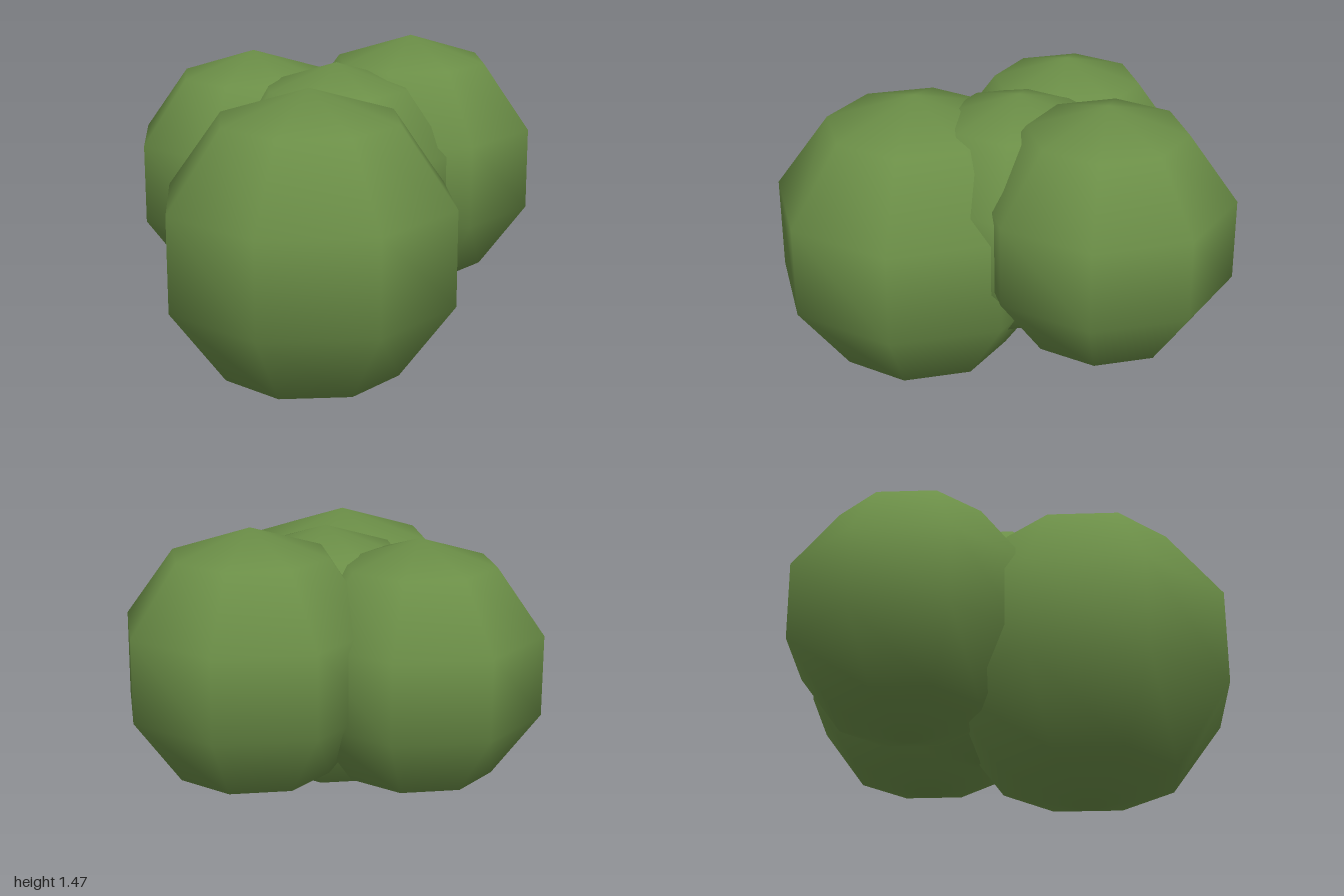
import * as THREE from 'three';

// Shrub made of four overlapping low-segment, smooth-shaded foliage clumps
export function createModel() {
  const group = new THREE.Group();
  group.name = 'bush';
  const leafGreen = new THREE.MeshStandardMaterial({ color: 0x6b8e47 });
  leafGreen.name = 'leaf green';

  // name, radius, centre
  const clumps = [
    ['frontClump', 0.69, -0.34, 0.69, 0.34],
    ['leftClump', 0.598, 0.42, 0.867, -0.15],
    ['backClump', 0.58, -0.25, 0.82, -0.45],
    ['centreClump', 0.5625, -0.035, 0.837, -0.015],
  ];
  for (const [name, radius, x, y, z] of clumps) {
    const clump = new THREE.Mesh(new THREE.SphereGeometry(radius, 8, 5), leafGreen);
    clump.name = name;
    clump.position.set(x, y, z);
    group.add(clump);
  }
  return group;
}
